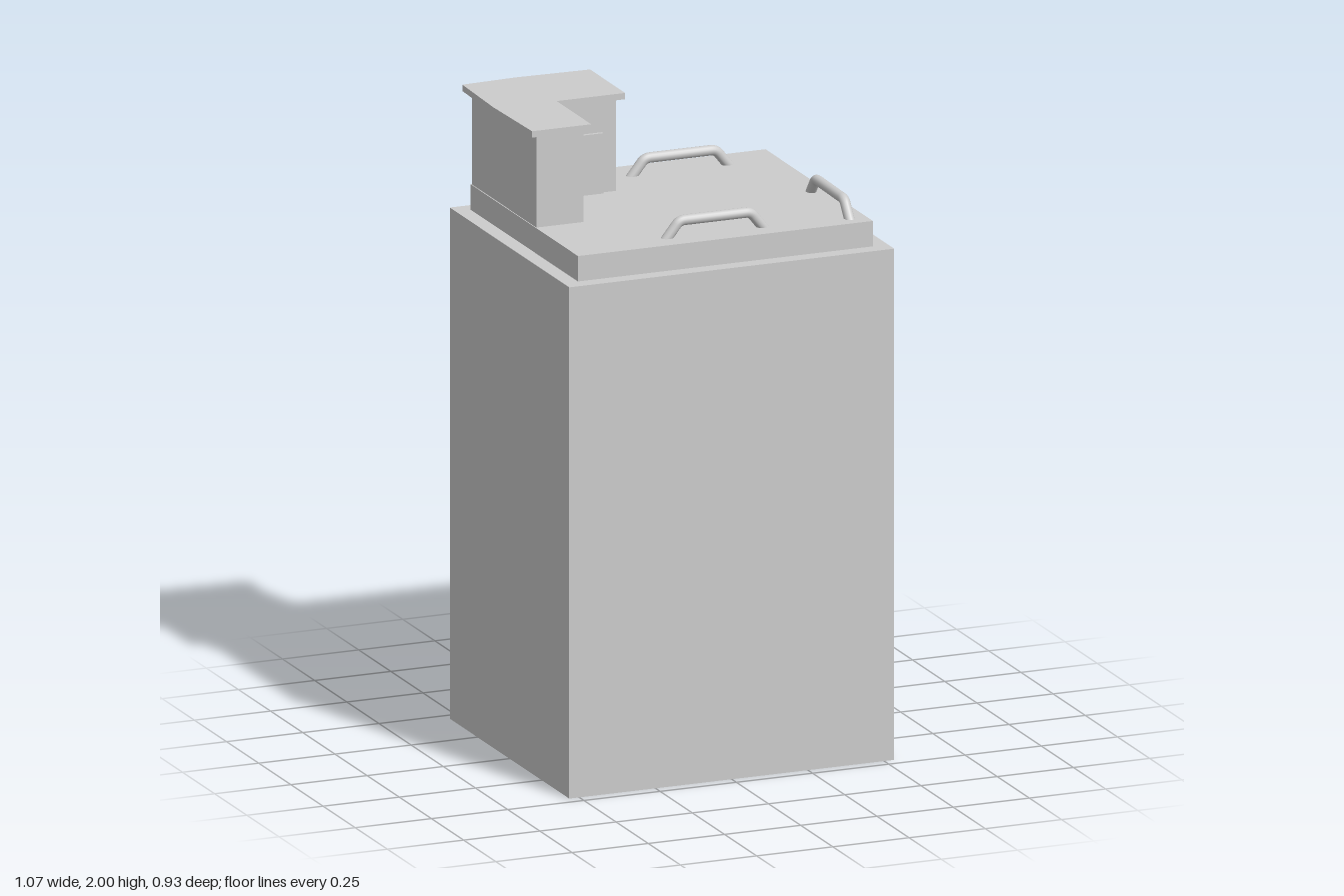
import * as THREE from 'three';

const material = new THREE.MeshStandardMaterial({ color: 0xcccccc });

function addMesh(group, name, geometry) {
  const mesh = new THREE.Mesh(geometry, material);
  mesh.name = name;
  group.add(mesh);
  return mesh;
}

// Box given by its ranges on each axis
function addBox(group, name, [x0, x1], [y0, y1], [z0, z1]) {
  const mesh = addMesh(group, name, new THREE.BoxGeometry(x1 - x0, y1 - y0, z1 - z0));
  mesh.position.set((x0 + x1) / 2, (y0 + y1) / 2, (z0 + z1) / 2);
}

// Upright prism from a floor plan of [x, z] points
function addPrism(group, name, plan, y0, y1) {
  const shape = new THREE.Shape(plan.map(([x, z]) => new THREE.Vector2(x, -z)));
  const geometry = new THREE.ExtrudeGeometry(shape, { depth: y1 - y0, bevelEnabled: false });
  geometry.rotateX(-Math.PI / 2);
  addMesh(group, name, geometry).position.y = y0;
}

// Grab rail: sloping legs, softly bent corners and a straight bar
function railGeometry() {
  const v = (x, y) => new THREE.Vector3(x, y, 0);
  const path = new THREE.CurvePath();
  path.add(new THREE.LineCurve3(v(-0.168, -0.015), v(-0.126, 0.038)));
  path.add(new THREE.QuadraticBezierCurve3(v(-0.126, 0.038), v(-0.116, 0.05), v(-0.1, 0.05)));
  path.add(new THREE.LineCurve3(v(-0.1, 0.05), v(0.1, 0.05)));
  path.add(new THREE.QuadraticBezierCurve3(v(0.1, 0.05), v(0.116, 0.05), v(0.126, 0.038)));
  path.add(new THREE.LineCurve3(v(0.126, 0.038), v(0.168, -0.015)));
  return new THREE.TubeGeometry(path, 64, 0.016, 16, false);
}

export function createModel() {
  const model = new THREE.Group();
  model.name = 'tower';

  // Main block and raised deck
  addBox(model, 'mainBlock', [-0.533, 0.533], [0, 1.61], [-0.464, 0.464]);
  addBox(model, 'deck', [-0.484, 0.483], [1.61, 1.69], [-0.418, 0.416]);

  // L-shaped hut with overhanging roof and a door
  const hut = new THREE.Group();
  hut.name = 'hut';
  model.add(hut);
  addPrism(hut, 'hutWalls', [
    [-0.481, -0.414], [-0.481, 0.086], [-0.326, 0.086],
    [-0.326, -0.183], [-0.107, -0.183], [-0.107, -0.414],
  ], 1.69, 1.98);
  addPrism(hut, 'hutRoof', [
    [-0.502, -0.44], [-0.51, -0.18], [-0.502, 0.102], [-0.308, 0.102],
    [-0.308, -0.167], [-0.083, -0.167], [-0.083, -0.44], [-0.325, -0.449],
  ], 1.98, 2);
  addBox(hut, 'door', [-0.276, -0.152], [1.69, 1.88], [-0.19, -0.172]);

  // Three grab rails on the deck: x, z, turn
  const rail = railGeometry();
  [
    ['backRail', 0.16, -0.316, 0],
    ['frontRail', -0.003, 0.34, 0],
    ['leftRail', 0.431, 0.207, Math.PI / 2 + 0.02],
  ].forEach(([name, x, z, turn]) => {
    const mesh = addMesh(model, name, rail);
    mesh.position.set(x, 1.69, z);
    mesh.rotation.y = -turn;
  });

  return model;
}
